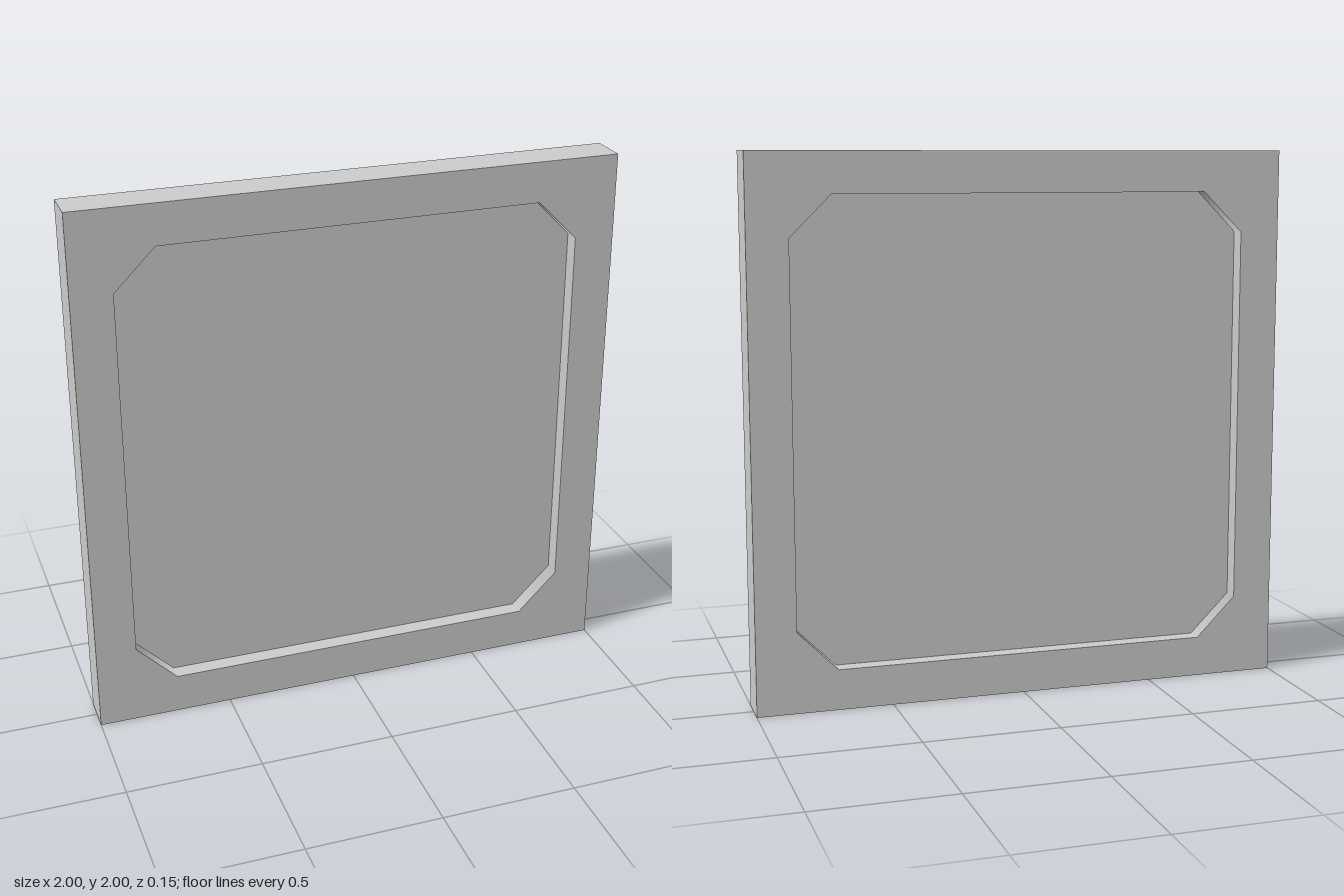
import * as THREE from 'three';

const HALF = 1;        // half of the outer square
const INNER = 0.85;    // half of the opening
const FLAT = 0.7;      // where the cut corners begin
const DEPTH = 0.147;   // frame thickness
const PANEL = 0.025;   // thickness of the recessed panel

// Square with cut corners, centred on the origin
function octagon(PathType) {
  const a = INNER, b = FLAT;
  return new PathType([
    [a, -b], [a, b], [b, a], [-b, a], [-a, b], [-a, -b], [-b, -a], [b, -a],
  ].map(([x, y]) => new THREE.Vector2(x, y)));
}

function extrudeCentred(shape, depth) {
  const geometry = new THREE.ExtrudeGeometry(shape, { depth, bevelEnabled: false });
  return geometry.translate(0, 0, -depth / 2);
}

// Blend the cut corners of the opening smoothly into the straight walls
function softenCorners(geometry) {
  const p = geometry.attributes.position, n = geometry.attributes.normal;
  for (let i = 0; i < p.count; i++) {
    if (Math.abs(n.getX(i)) < 0.1 || Math.abs(n.getY(i)) < 0.1) continue;
    const x = p.getX(i), y = p.getY(i);
    if (Math.abs(x) > Math.abs(y)) n.setXYZ(i, -Math.sign(x), 0, 0);
    else n.setXYZ(i, 0, -Math.sign(y), 0);
  }
  return geometry;
}

export function createModel() {
  const group = new THREE.Group();
  group.name = 'framedPanel';
  const material = new THREE.MeshStandardMaterial({ color: 0xcccccc });

  const add = (name, geometry) => {
    const mesh = new THREE.Mesh(geometry, material);
    mesh.name = name;
    mesh.position.y = HALF;
    group.add(mesh);
  };

  // Square frame with an opening with cut corners
  const outline = new THREE.Shape([
    [-1, -1], [1, -1], [1, 1], [-1, 1],
  ].map(([x, y]) => new THREE.Vector2(x * HALF, y * HALF)));
  outline.holes.push(octagon(THREE.Path));
  add('frame', softenCorners(extrudeCentred(outline, DEPTH)));

  // Thin panel, recessed on both sides
  add('panel', extrudeCentred(octagon(THREE.Shape), PANEL));

  return group;
}
